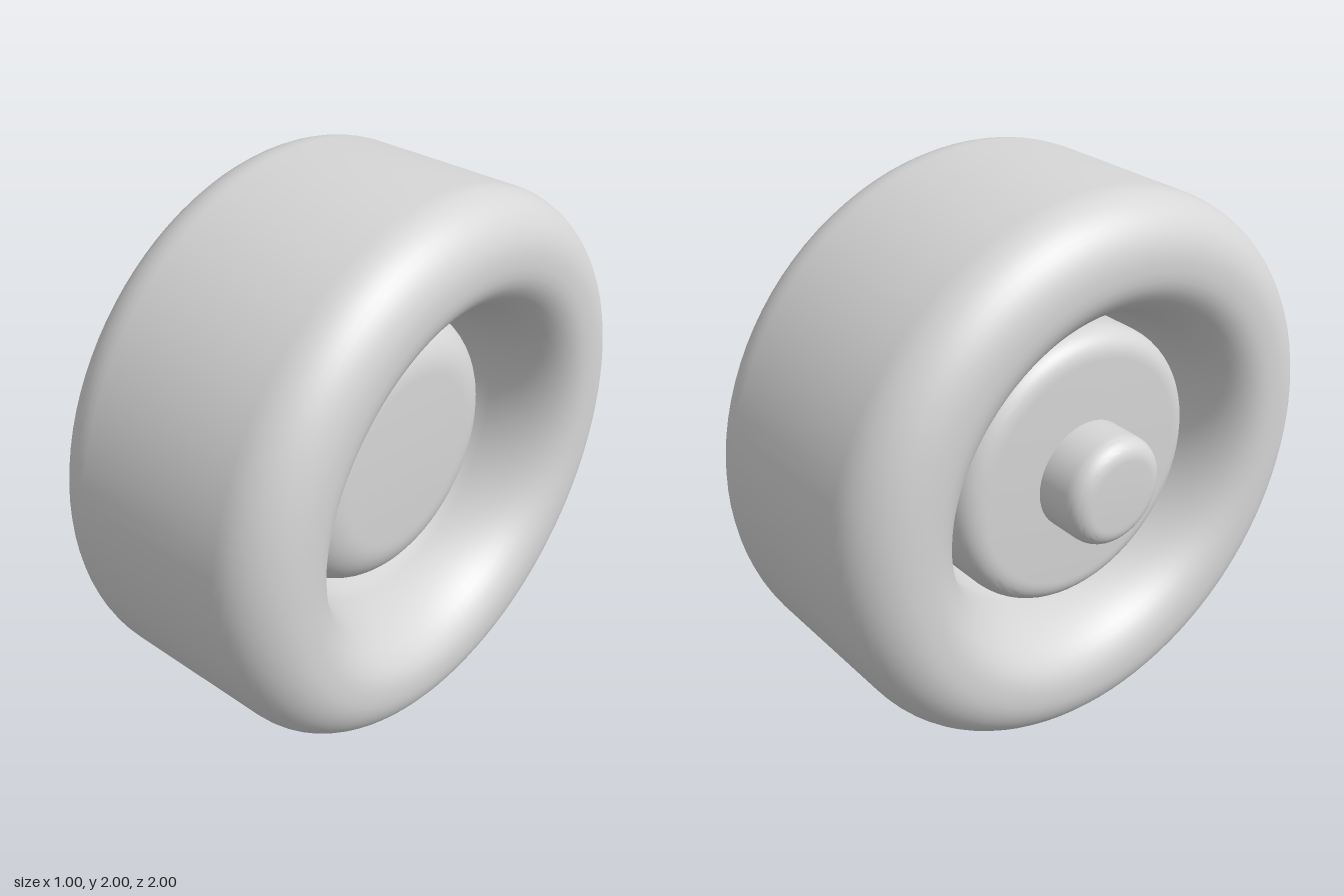
import * as THREE from 'three';
import { toCreasedNormals } from 'three/addons/utils/BufferGeometryUtils.js';

const plainGrey = new THREE.MeshStandardMaterial({ color: 0xd6d6d6 });
plainGrey.name = 'plain grey';

// Revolve a profile (radius, position along the axle) about the x axis.
function revolve(name, path, segments) {
  const lathe = new THREE.LatheGeometry(path.getPoints(12), segments);
  lathe.rotateZ(-Math.PI / 2);
  const mesh = new THREE.Mesh(toCreasedNormals(lathe, 0.6), plainGrey);
  mesh.name = name;
  mesh.position.y = 1;
  return mesh;
}

export function createModel() {
  const wheel = new THREE.Group();
  wheel.name = 'wheel';

  // Tyre: rounded tread shoulders and a wide curve tapering in to the hub
  const tyre = new THREE.Path();
  tyre.moveTo(0.51, -0.04);
  tyre.lineTo(0.55, -0.14);
  tyre.bezierCurveTo(0.57, -0.33, 0.64, -0.47, 0.77, -0.47);
  tyre.lineTo(0.8, -0.47);
  tyre.bezierCurveTo(0.91, -0.47, 1, -0.38, 1, -0.27);
  tyre.lineTo(1, 0.3);
  tyre.bezierCurveTo(1, 0.41, 0.91, 0.5, 0.8, 0.5);
  tyre.lineTo(0.77, 0.5);
  tyre.bezierCurveTo(0.64, 0.5, 0.57, 0.35, 0.55, 0.16);
  tyre.lineTo(0.51, 0.05);
  wheel.add(revolve('tyre', tyre, 96));

  // Hub: rounded edge at the back, broad domed cap on the outer face
  const hub = new THREE.Path();
  hub.moveTo(0, -0.31);
  hub.lineTo(0.42, -0.31);
  hub.bezierCurveTo(0.48, -0.31, 0.515, -0.27, 0.515, -0.21);
  hub.lineTo(0.515, 0.07);
  hub.bezierCurveTo(0.515, 0.17, 0.44, 0.26, 0.32, 0.26);
  hub.lineTo(0, 0.26);
  wheel.add(revolve('hub', hub, 72));

  // Axle stub with a rounded end
  const axle = new THREE.Path();
  axle.moveTo(0, -0.5);
  axle.lineTo(0.13, -0.5);
  axle.bezierCurveTo(0.17, -0.5, 0.2, -0.473, 0.2, -0.43);
  axle.lineTo(0.2, -0.3);
  wheel.add(revolve('axleStub', axle, 48));

  return wheel;
}
